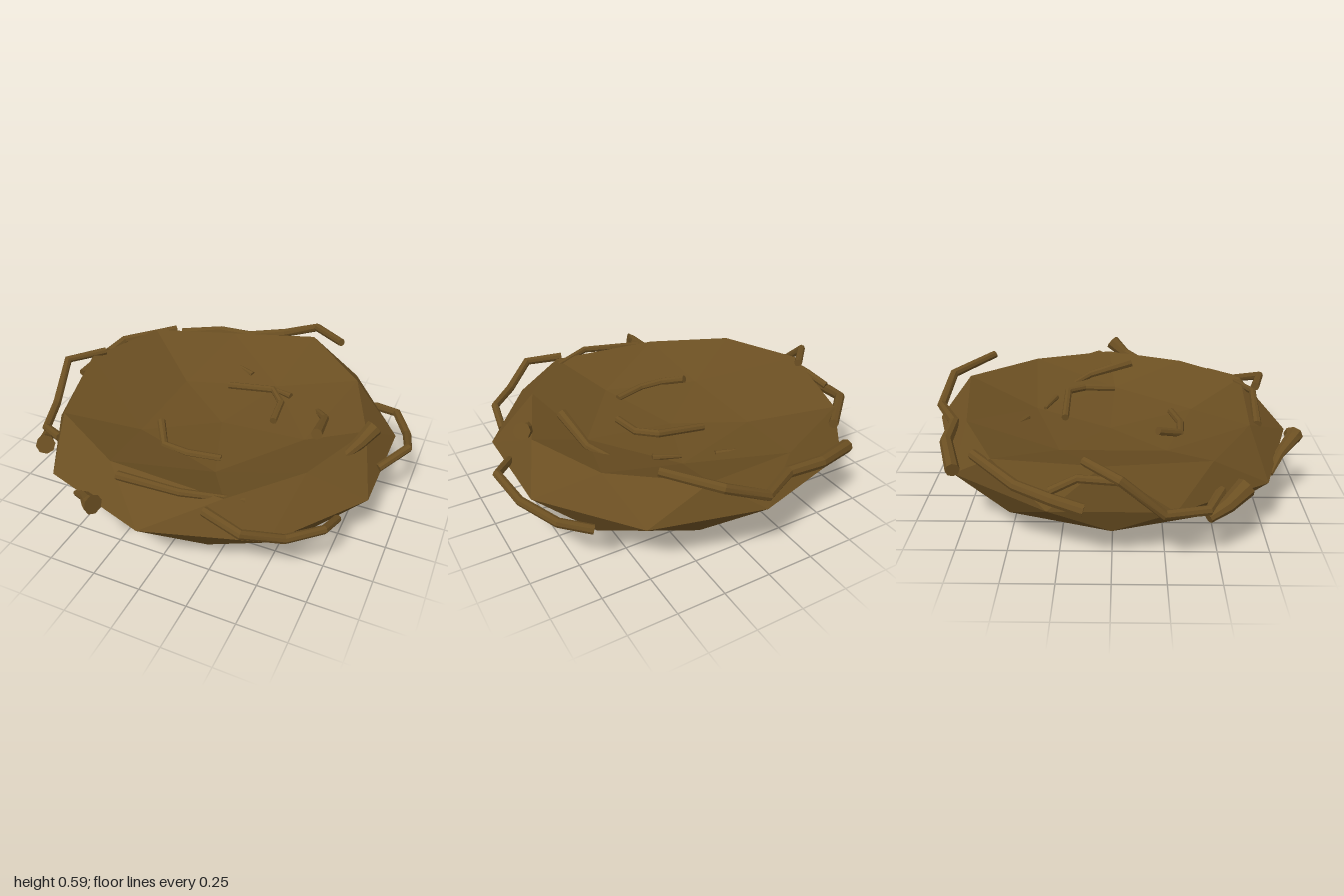
import * as THREE from 'three';

// Evenly spaced points at a height and radius, headings in degrees from +z towards +x
const ring = (n, start, y, r) =>
  Array.from({ length: n }, (_, i) => {
    const a = THREE.MathUtils.degToRad(start + (i * 360) / n);
    return [Math.sin(a) * r, y, Math.cos(a) * r];
  });

function meshFromTriangles(name, tris, material) {
  const geo = new THREE.BufferGeometry();
  geo.setAttribute('position', new THREE.Float32BufferAttribute(tris.flat(2), 3));
  geo.computeVertexNormals(); // unshared corners give flat facets
  const mesh = new THREE.Mesh(geo, material);
  mesh.name = name;
  return mesh;
}

// Facets joining a pole, a ring of five and a ring of ten (first match at index o)
function capFacets(pole, five, ten, o) {
  const tris = [];
  for (let k = 0; k < 5; k++) {
    const j = 2 * k + o;
    const s = five[k], next = five[(k + 1) % 5];
    const a = ten[(j + 9) % 10], b = ten[j % 10], c = ten[(j + 1) % 10];
    tris.push([s, a, b], [s, b, c], [s, c, next], [pole, s, next]);
  }
  return tris;
}

// Zigzag band between an offset ring of ten and the widest ring
function bandFacets(ten, wide) {
  const tris = [];
  for (let j = 0; j < 10; j++) {
    const k = (j + 1) % 10;
    tris.push([ten[j], wide[j], wide[k]], [ten[j], wide[k], ten[k]]);
  }
  return tris;
}

const flip = (tris) => tris.map(([a, b, c]) => [a, c, b]);

function makeBowl(material) {
  const wide = ring(10, 0, 0.31, 0.93);
  wide[0] = [-0.03, 0.31, 0.93];
  wide[4] = [0.53, 0.33, -0.78];
  wide[5] = [0, 0.36, -0.95];
  wide[6] = [-0.6, 0.34, -0.76];
  wide[9] = [-0.62, 0.31, 0.74];

  // Underside, slightly lopsided
  const low = [
    [0.23, 0.14, 0.72], [0.63, 0.15, 0.46], [0.72, 0.13, 0], [0.64, 0.16, -0.48],
    [0.23, 0.18, -0.74], [-0.26, 0.18, -0.74], [-0.67, 0.17, -0.49],
    [-0.84, 0.18, 0], [-0.66, 0.16, 0.48], [-0.27, 0.15, 0.73],
  ];
  const lowFive = [
    [0.35, 0.03, 0.26], [0.35, 0.03, -0.28], [-0.16, 0.052, -0.45],
    [-0.53, 0.05, 0], [-0.16, 0.027, 0.42],
  ];
  const under = [...bandFacets(low, wide), ...capFacets([-0.03, 0.005, 0], lowFive, low, 1)];

  // Uneven rim and sunken floor
  const rim = [
    [0.32, 0.47, 0.73], [0.6, 0.47, 0.4], [0.77, 0.47, -0.04], [0.6, 0.48, -0.48],
    [0.23, 0.51, -0.82], [-0.27, 0.46, -0.75], [-0.72, 0.485, -0.55],
    [-0.86, 0.525, -0.04], [-0.72, 0.48, 0.46], [-0.3, 0.46, 0.69],
  ];
  const floor = ring(5, 18, 0.35, 0.46);
  const upper = [...bandFacets(rim, wide), ...capFacets([-0.03, 0.31, -0.02], floor, rim, 0)];

  const bowl = new THREE.Group();
  bowl.name = 'bowl';
  bowl.add(meshFromTriangles('underside', flip(under), material),
    meshFromTriangles('rimAndHollow', upper, material));
  return bowl;
}

// Bent, tapering, eight-sided stick through the given points
function makeTwig(points, r0, r1, material) {
  const p = points.map((q) => new THREE.Vector3(...q));
  const sides = 8, last = p.length - 1;
  const loops = p.map((q, i) => {
    const t = p[Math.min(i + 1, last)].clone().sub(p[Math.max(i - 1, 0)]).normalize();
    const u = new THREE.Vector3(0, 1, 0).cross(t).normalize();
    const v = t.clone().cross(u);
    const r = THREE.MathUtils.lerp(r0, r1, i / last);
    return Array.from({ length: sides }, (_, k) => {
      const a = (k / sides) * Math.PI * 2;
      return q.clone().addScaledVector(u, Math.cos(a) * r)
        .addScaledVector(v, Math.sin(a) * r).toArray();
    });
  });
  const tris = [];
  for (let k = 0; k < sides; k++) {
    const n = (k + 1) % sides;
    for (let i = 0; i < last; i++) {
      const A = loops[i], B = loops[i + 1];
      tris.push([A[k], A[n], B[n]], [A[k], B[n], B[k]]);
    }
    tris.push([points[0], loops[0][n], loops[0][k]]);
    tris.push([points[last], loops[last][k], loops[last][n]]);
  }
  return meshFromTriangles('twig', tris, material);
}

export function createModel() {
  const wood = new THREE.MeshStandardMaterial({ color: 0x6b4f22, flatShading: true });
  wood.name = 'dry brown wood';

  const nest = new THREE.Group();
  nest.name = 'nest';
  nest.add(makeBowl(wood));

  // Each twig: start radius, end radius, then its points
  const twigs = new THREE.Group();
  twigs.name = 'twigs';
  const outer = [
    // back
    [0.035, 0.022, [-0.64, 0.38, -0.75], [-0.4, 0.41, -0.83], [-0.2, 0.42, -0.83], [0, 0.43, -0.94], [0.22, 0.53, -0.91], [0.43, 0.57, -0.71]],
    // left side
    [0.024, 0.022, [0.7, 0.27, -0.59], [0.84, 0.31, -0.51], [0.94, 0.33, -0.3], [0.98, 0.38, -0.11], [0.87, 0.33, 0.05]],
    [0.022, 0.045, [0.71, 0.43, 0.16], [0.76, 0.46, 0.06], [0.81, 0.52, -0.02]],
    // front
    [0.025, 0.02, [0.26, 0.44, 0.81], [0.46, 0.43, 0.87], [0.62, 0.35, 0.74], [0.76, 0.34, 0.6], [0.78, 0.28, 0.44]],
    [0.024, 0.015, [-0.23, 0.43, 0.74], [0.12, 0.47, 0.77], [0.4, 0.44, 0.67]],
    [0.015, 0.05, [-0.46, 0.27, 0.78], [-0.36, 0.33, 0.84], [-0.28, 0.38, 0.915], [-0.255, 0.385, 0.925]],
    // right side
    [0.025, 0.05, [-0.88, 0.28, 0.43], [-0.82, 0.31, 0.52], [-0.75, 0.365, 0.61]],
    [0.025, 0.022, [-0.74, 0.34, 0.5], [-0.88, 0.32, 0.43], [-0.95, 0.34, 0.23], [-0.975, 0.52, 0.04], [-0.82, 0.53, -0.12]],
    [0.025, 0.03, [-0.63, 0.46, -0.65], [-0.88, 0.44, -0.42], [-0.93, 0.4, -0.26], [-0.95, 0.36, -0.12]],
    [0.02, 0.02, [-0.91, 0.43, -0.27], [-0.87, 0.47, -0.15], [-0.88, 0.46, 0.05]],
  ];
  const inner = [
    [0.022, 0.02, [-0.27, 0.41, 0.23], [-0.19, 0.36, 0.35], [-0.05, 0.355, 0.36], [0.12, 0.345, 0.32]],
    [0.02, 0.02, [-0.09, 0.4, -0.26], [0.18, 0.44, -0.26], [0.26, 0.43, -0.17], [0.28, 0.42, 0]],
    [0.015, 0.03, [0.43, 0.37, -0.27], [0.52, 0.41, -0.15], [0.55, 0.48, 0.1]],
    [0.01, 0.018, [-0.13, 0.38, -0.51], [-0.03, 0.37, -0.47]],
    [0.01, 0.018, [0.12, 0.36, -0.39], [0.26, 0.37, -0.34]],
  ];
  for (const [r0, r1, ...path] of [...outer, ...inner]) {
    twigs.add(makeTwig(path, r0, r1, wood));
  }
  nest.add(twigs);
  return nest;
}
